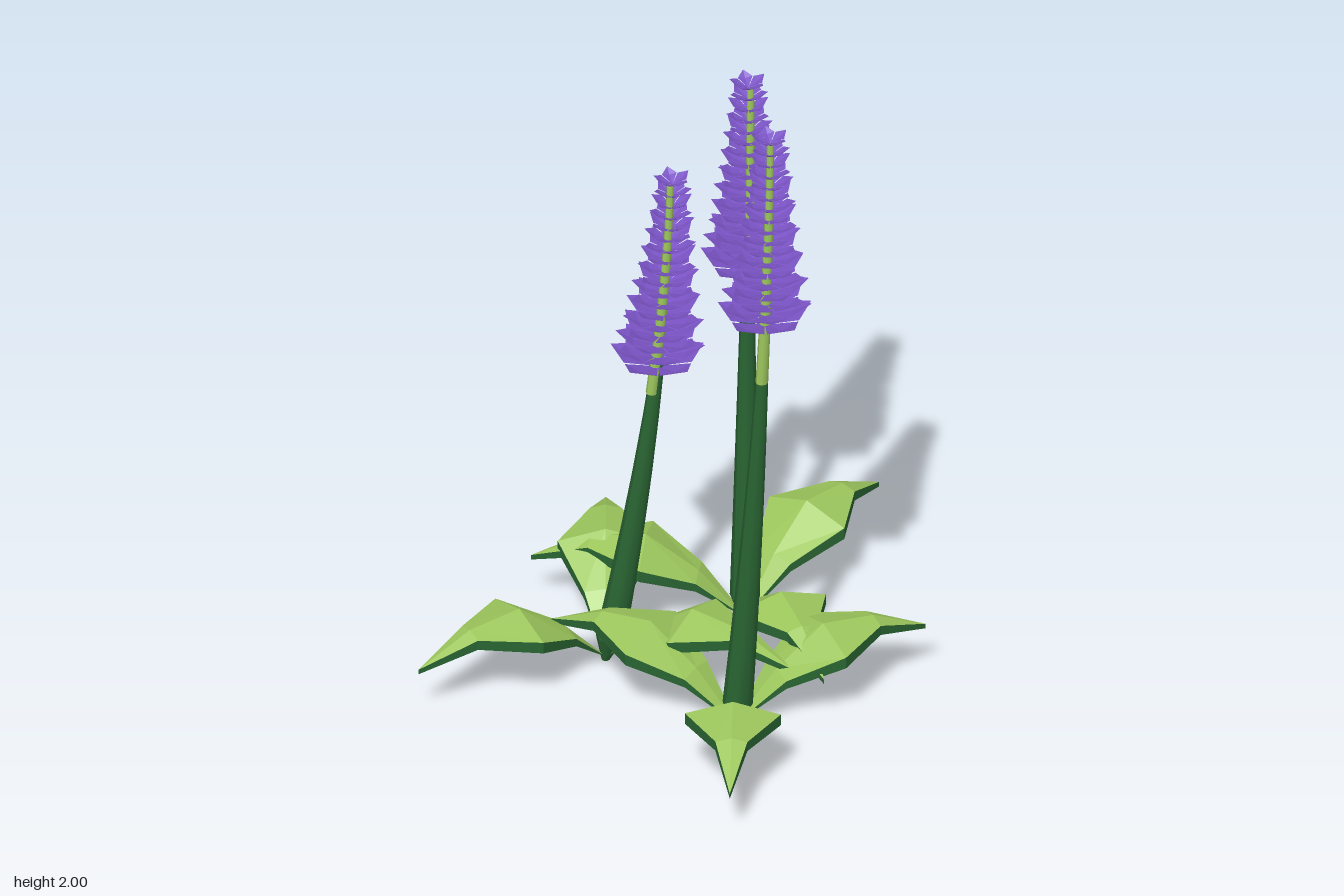
import * as THREE from 'three';

const material = (name, color, side = THREE.FrontSide) => {
  const m = new THREE.MeshStandardMaterial({ color, side });
  m.name = name;
  return m;
};

// Faceted geometry from a list of corner points, three per triangle
function faceted(points) {
  const g = new THREE.BufferGeometry().setFromPoints(points);
  g.computeVertexNormals();
  return g;
}

const quad = (a, b, c, d) => [a, b, c, a, c, d];

// Arched leaf along +x: light upper side, dark rim and underside
function leafGeometry() {
  // distance out, ridge height, half width, edge drop, thickness
  const sections = [
    [0.0, 0.01, 0.004, 0, 0],
    [0.13, 0.15, 0.06, 0.01, 0.025],
    [0.28, 0.255, 0.135, 0.04, 0.035],
    [0.44, 0.235, 0.045, 0.012, 0.03],
    [0.607, 0.155, 0, 0, 0.015],
  ];
  const rings = sections.map(([r, y, w, drop, thick]) => [
    new THREE.Vector3(r, y - drop, -w),
    new THREE.Vector3(r, y, 0),
    new THREE.Vector3(r, y - drop, w),
    new THREE.Vector3(r, y - drop - thick, w),
    new THREE.Vector3(r, y - thick, 0),
    new THREE.Vector3(r, y - drop - thick, -w),
  ]);
  const top = [], under = [];
  for (let i = 0; i < rings.length - 1; i++) {
    for (let k = 0; k < 6; k++) {
      const n = (k + 1) % 6;
      (k < 2 ? top : under).push(...quad(rings[i][k], rings[i][n], rings[i + 1][n], rings[i + 1][k]));
    }
  }
  const g = faceted([...top, ...under]);
  g.addGroup(0, top.length, 0);
  g.addGroup(top.length, under.length, 1);
  return g;
}

// Tapered stalk section that follows the plant's curve
function stalkGeometry(axis, y0, y1, r0, r1) {
  const g = new THREE.CylinderGeometry(r1, r0, y1 - y0, 8, 5);
  const p = g.attributes.position;
  for (let i = 0; i < p.count; i++) {
    const y = p.getY(i) + (y0 + y1) / 2;
    const c = axis(y);
    p.setXYZ(i, p.getX(i) + c.x, y, p.getZ(i) + c.z);
  }
  g.computeVertexNormals();
  return g;
}

// Tiers of broad, upturned petals shrinking toward the tip
function petalGeometry(axis, bottom, height) {
  const points = [];
  const tiers = 18, perTier = 5;
  for (let i = 0; i < tiers; i++) {
    const t = i / (tiers - 1);
    const R = 0.054 + 0.084 * Math.pow(1 - t, 1.25);
    const rise = 0.05 - 0.022 * t;
    const y = THREE.MathUtils.lerp(bottom, height - rise, t);
    const c = axis(y);
    for (let j = 0; j < perTier; j++) {
      const a = ((j + i * 0.4) / perTier) * Math.PI * 2;
      const at = (r, s, dy) => new THREE.Vector3(
        c.x + r * Math.cos(a) - s * Math.sin(a), y + dy, c.z + r * Math.sin(a) + s * Math.cos(a));
      const root = at(0, 0, 0);
      const tip = at(R, 0, rise);
      const left = at(R * 0.6, -R * 0.4, rise * 0.6);
      const right = at(R * 0.6, R * 0.4, rise * 0.6);
      const keel = at(R * 0.6, 0, rise * 0.45);
      points.push(root, right, keel, keel, right, tip, root, keel, left, keel, tip, left);
    }
  }
  return faceted(points);
}

export function createModel() {
  const lightGreen = material('lightGreen', 0x9cc65c);
  const darkGreen = material('darkGreen', 0x296432);
  const purple = material('petalPurple', 0x7b54c6, THREE.DoubleSide);

  const model = new THREE.Group();
  model.name = 'flowerCluster';
  const leafShape = leafGeometry();

  // base and top positions, height, end of the dark stalk,
  // start of the light stalk and its z shift, first leaf angle
  const plants = [
    { base: [-0.18, -0.235], top: [-0.163, -0.235], height: 1.8, dark: 1.17, light: 1.07, shift: -0.008, turn: 16 },
    { base: [-0.25, 0.203], top: [-0.115, 0.07], height: 1.62, dark: 1.0, light: 0.9, shift: 0.008, turn: 97.5 },
    { base: [0.25, 0.127], top: [0.36, 0.088], height: 2.0, dark: 1.17, light: 1.17, shift: 0, turn: 39 },
  ];

  plants.forEach(({ base, top, height, dark, light, shift, turn }) => {
    const plant = new THREE.Group();
    plant.name = 'flower';
    // The stalk leans most near the ground and straightens upward
    const axis = (y) => {
      const f = 1 - Math.pow(Math.max(0, 1 - y / height), 1.6);
      return {
        x: THREE.MathUtils.lerp(base[0], top[0], f),
        z: THREE.MathUtils.lerp(base[1], top[1], f),
      };
    };
    const add = (name, geometry, mat) => {
      const mesh = new THREE.Mesh(geometry, mat);
      mesh.name = name;
      plant.add(mesh);
      return mesh;
    };

    add('stalkFoot', stalkGeometry(axis, 0, 0.08, 0.012, 0.043), darkGreen);
    add('lowerStalk', stalkGeometry(axis, 0.08, dark, 0.043, 0.018), darkGreen);
    const upper = add('upperStalk', stalkGeometry(axis, light, height - 0.03, 0.018, 0.01), lightGreen);
    upper.position.z = shift;
    add('petals', petalGeometry(axis, height - 0.635, height), purple);

    // Three leaves spread evenly around the stalk
    for (let i = 0; i < 3; i++) {
      const leaf = add('leaf', leafShape, [lightGreen, darkGreen]);
      leaf.position.set(base[0], 0, base[1]);
      leaf.rotation.y = -THREE.MathUtils.degToRad(turn + i * 120);
    }
    model.add(plant);
  });
  return model;
}
